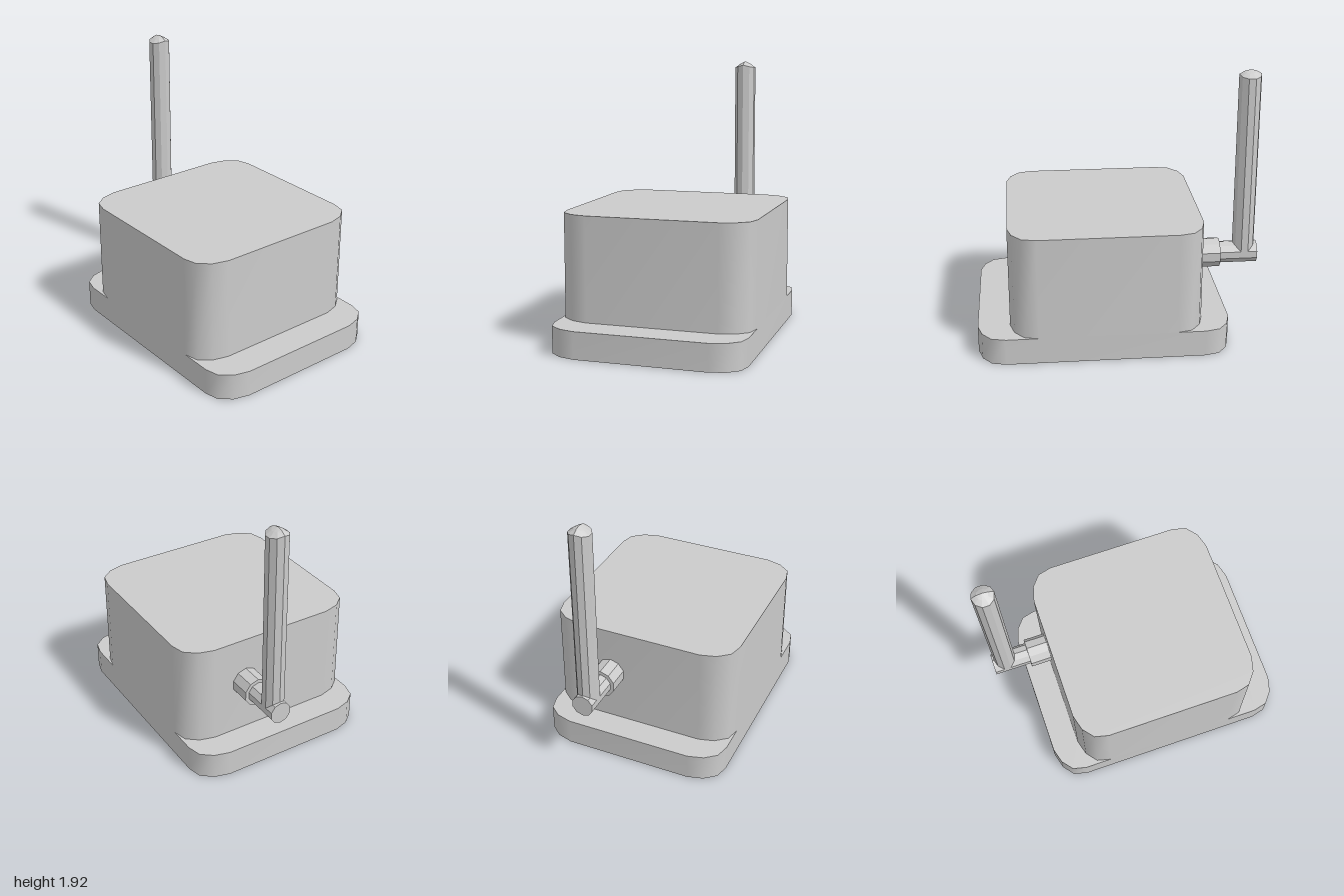
import * as THREE from 'three';

const W = 0.675; // half width shared by the base and the body
const material = new THREE.MeshStandardMaterial({ color: 0xcccccc, side: THREE.DoubleSide });
const facetMaterial = new THREE.MeshStandardMaterial({ color: 0xcccccc, flatShading: true });

// One rounded corner, as [inset from side, inset from end]
const CORNER = [[0, 0.195], [0.025, 0.095], [0.105, 0.03], [0.215, 0]];

// Points along one rounded end, from the +x side to the -x side; dir is +1 front, -1 back
function endCurve(z, dir) {
  const half = CORNER.map(([a, b]) => new THREE.Vector2(W - a, z - dir * b));
  return [...half, ...half.map((p) => new THREE.Vector2(-p.x, p.y)).reverse()];
}

function outline(front, back) {
  return [...endCurve(front, 1), ...endCurve(back, -1).reverse()];
}

// Smooth vertical wall following a closed outline
function wall(points, y0, y1) {
  const pos = [], index = [], n = points.length;
  points.forEach((p, i) => {
    pos.push(p.x, y0, p.y, p.x, y1, p.y);
    const a = 2 * i, b = 2 * ((i + 1) % n);
    index.push(a, a + 1, b, b, a + 1, b + 1);
  });
  const g = new THREE.BufferGeometry();
  g.setAttribute('position', new THREE.Float32BufferAttribute(pos, 3));
  g.setIndex(index);
  g.computeVertexNormals();
  return g;
}

// Horizontal sheet facing up, from points given as (x, z)
function sheet(points, y) {
  const shape = new THREE.Shape(points.map((p) => new THREE.Vector2(p.x, -p.y)));
  return new THREE.ShapeGeometry(shape).rotateX(-Math.PI / 2).translate(0, y, 0);
}

// Ten-sided rod running along z
function rodZ(r, z0, z1) {
  return new THREE.CylinderGeometry(r, r, z1 - z0, 10).rotateX(Math.PI / 2).translate(0, 0, (z0 + z1) / 2);
}

export function createModel() {
  const model = new THREE.Group();
  const add = (name, geometry, mat, parent = model) => {
    const mesh = new THREE.Mesh(geometry, mat);
    mesh.name = name;
    parent.add(mesh);
    return mesh;
  };

  // Housing: an open-bottomed shell with a flange at the front and back
  const baseY = 0.19, topY = 0.92;
  const bodyOutline = outline(0.775, -0.575);
  add('baseWall', wall(outline(1, -0.77), 0, baseY), material);
  add('bodyWall', wall(bodyOutline, baseY, topY), material);
  add('bodyTop', sheet(bodyOutline, topY), material);
  add('frontLedge', sheet([...endCurve(1, 1), ...endCurve(0.775, 1).reverse()], baseY), material);
  add('backLedge', sheet([...endCurve(-0.77, -1), ...endCurve(-0.575, -1).reverse()], baseY), material);

  // Antenna: collar, horizontal elbow and upright mast
  const antenna = new THREE.Group();
  antenna.name = 'antenna';
  antenna.position.set(0.213, 0.578, 0);
  model.add(antenna);
  const r = 0.0785, mastZ = -0.907, tipY = 1.92 - 0.578;
  add('antennaCollar', rodZ(0.105, -0.73, -0.57), facetMaterial, antenna);
  add('antennaElbow', rodZ(r, -1, -0.72), facetMaterial, antenna);

  // Mast whose tip is a low dome, dropping further at the sides than front and back
  const profile = [[0, 0], [r, 0], [r, 1], [r * 0.5, tipY], [0, tipY]].map(([x, y]) => new THREE.Vector2(x, y));
  const mast = new THREE.LatheGeometry(profile, 10);
  const p = mast.attributes.position;
  for (let i = 0; i < p.count; i++) {
    if (p.getY(i) < 0.5) continue;
    const x = Math.abs(p.getX(i)), d = Math.hypot(x, p.getZ(i));
    p.setY(i, tipY - 0.35 * x - 0.03 * (d / r) ** 2 + (d > r * 0.9 ? 0.1 * x : 0));
  }
  mast.translate(0, 0, mastZ);
  add('antennaMast', mast, facetMaterial, antenna);

  return model;
}
